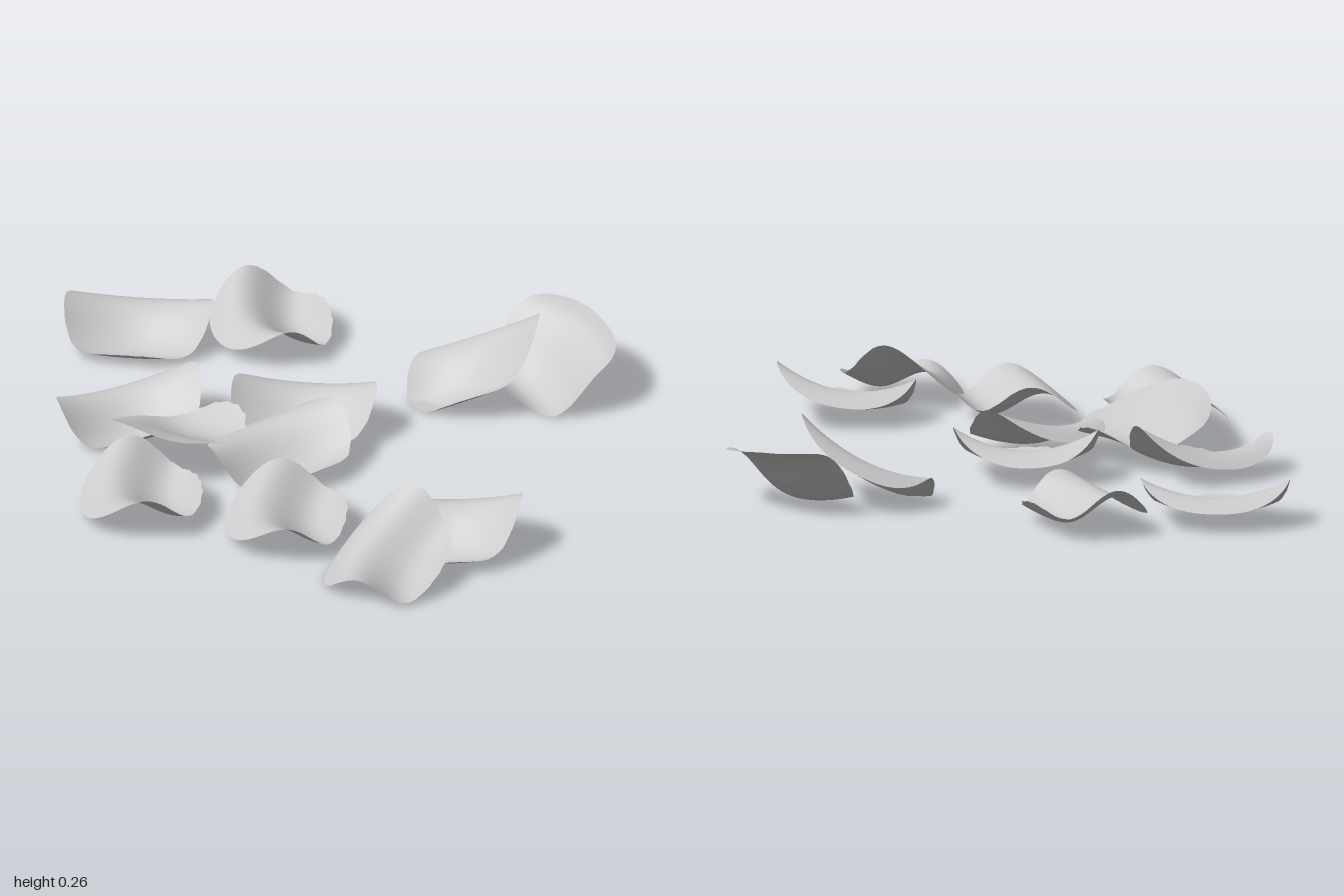
import * as THREE from 'three';
import { mergeVertices } from 'three/addons/utils/BufferGeometryUtils.js';

// One petal: [x, z, heading in degrees seen from above, length, width,
//   heights at tip, base, left edge, right edge, middle, size of the S-fold]
const PETALS = [
  [0.29, -0.725, 75, 0.31, 0.42, 0.19, 0.03, 0.15, 0.09, 0.08, 0.035],
  [0.15, -0.535, 118, 0.35, 0.38, 0.12, 0.06, 0.04, 0.22, 0.09, 0.04],
  [-0.525, -0.405, -120, 0.34, 0.41, 0.03, 0.09, 0.08, 0.11, 0.055, 0.045],
  [-0.795, -0.13, 125, 0.34, 0.43, 0.06, 0.04, 0.09, 0.09, 0.045, 0.04],
  [-0.045, -0.025, 125, 0.35, 0.42, 0.07, 0.05, 0.11, 0.11, 0.055, 0.04],
  [0.08, 0.215, 165, 0.35, 0.42, 0.07, 0.06, 0.07, 0.13, 0.06, 0.04],
  [-0.425, 0.30, 150, 0.33, 0.42, 0.05, 0.05, 0.07, 0.13, 0.045, 0.04],
  [-0.175, 0.37, -95, 0.42, 0.33, 0.19, 0.12, 0.10, 0.07, 0.09, 0.02],
  [-0.015, 0.69, -130, 0.35, 0.42, 0.03, 0.09, 0.10, 0.11, 0.055, 0.042],
  [0.39, 0.51, -135, 0.35, 0.42, 0.03, 0.09, 0.08, 0.11, 0.055, 0.042],
  [0.80, 0.25, 122, 0.36, 0.40, 0.07, 0.04, 0.08, 0.13, 0.055, 0.04],
  [0.80, 0.52, -160, 0.35, 0.40, 0.02, 0.08, 0.04, 0.17, 0.065, 0.04],
];

// Quadratic passing through the low end, the middle and the high end
const bend = (t, low, mid, high) =>
  ((high - low) / 2) * t + ((high + low) / 2 - mid) * t * t;

function petalGeometry([x, z, heading, length, width, tip, base, left, right, mid, fold], seed) {
  const geo = new THREE.RingGeometry(0.0001, 1, 72, 16);
  geo.deleteAttribute('uv');
  geo.deleteAttribute('normal');
  const pos = geo.attributes.position;
  const a = THREE.MathUtils.degToRad(heading);
  for (let i = 0; i < pos.count; i++) {
    const px = pos.getX(i), py = pos.getY(i);
    const r = Math.hypot(px, py), ang = Math.atan2(py, px);
    // Rounded, slightly squared outline with a ragged base
    const c = Math.cos(ang), s = Math.sin(ang);
    let edge = Math.pow(Math.abs(c) ** 2.2 + Math.abs(s) ** 2.2, -1 / 2.2);
    edge *= 1 + 0.015 * Math.sin(3 * ang + seed);
    if (c < 0) edge *= 1 + 0.015 * c * Math.sin(23 * ang + seed) * r ** 4;
    const p = r * edge * c, q = r * edge * s;
    // Cupped in both directions, with a curved S-fold across the middle
    const k = THREE.MathUtils.clamp(p + 0.35 * q * q, -1, 1);
    const y = mid + bend(p, base, mid, tip) + bend(q, right, mid, left)
      + fold * Math.sin(Math.PI * k);
    const u = p * length / 2, v = q * width / 2;
    pos.setXYZ(i,
      x + Math.cos(a) * u - Math.sin(a) * v,
      Math.max(y, 0.003),
      z - Math.sin(a) * u - Math.cos(a) * v);
  }
  const smooth = mergeVertices(geo, 1e-5);
  smooth.computeVertexNormals();
  return smooth;
}

export function createModel() {
  const group = new THREE.Group();
  group.name = 'scatteredPetals';
  const material = new THREE.MeshStandardMaterial({ color: 0xcccccc, side: THREE.DoubleSide });
  PETALS.forEach((petal, i) => {
    const mesh = new THREE.Mesh(petalGeometry(petal, i * 1.7), material);
    mesh.name = `petal${i + 1}`;
    group.add(mesh);
  });
  // Rest the petals on the floor, centred
  const box = new THREE.Box3().setFromObject(group);
  const centre = box.getCenter(new THREE.Vector3());
  group.position.set(-centre.x, -box.min.y, -centre.z);
  return group;
}
